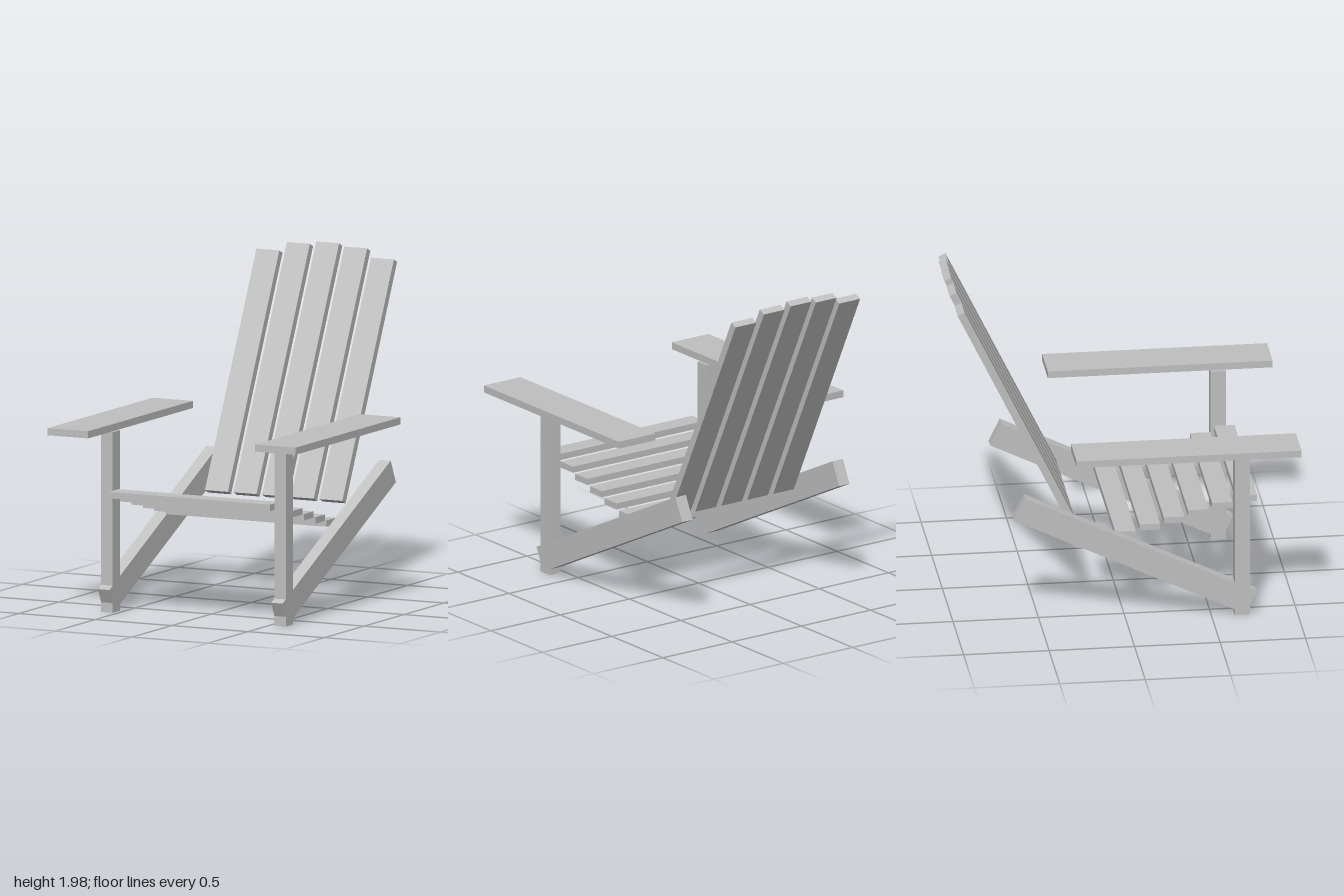
import * as THREE from 'three';

export function createModel() {
  const group = new THREE.Group();
  const wood = new THREE.MeshStandardMaterial({ color: 0xc0c0c0 });
  wood.name = 'paleGreyWood';

  // Box plank given by its size and centre, tilted about x
  function plank(name, size, centre, tilt = 0) {
    const mesh = new THREE.Mesh(new THREE.BoxGeometry(...size), wood);
    mesh.name = name;
    mesh.position.set(...centre);
    mesh.rotation.x = tilt;
    group.add(mesh);
  }

  // Legs, sloping side rails and armrests, mirrored
  for (const [side, s] of [['left', 1], ['right', -1]]) {
    plank(side + 'FrontLeg', [0.075, 1.06, 0.09], [s * 0.567, 0.53, 0.68]);
    plank(side + 'SideRail', [0.075, 0.15, 1.505], [s * 0.567, 0.4, 0.055], 0.451);
    plank(side + 'Armrest', [0.264, 0.042, 1.315], [s * 0.679, 1.081, 0.3425]);
  }

  // Seat slats stepping down toward the back
  for (let i = 0; i < 6; i++) {
    plank('seatSlat' + (i + 1), [1.056, 0.0377, 0.12],
      [0, 0.698 - i * 0.0377, 0.7145 - i * 0.1417]);
  }

  // Reclined back slats sharing one bottom line, tallest in the middle
  const lean = 0.452;
  const thick = 0.045;
  const up = new THREE.Vector3(0, Math.cos(lean), -Math.sin(lean));
  const back = new THREE.Vector3(0, -Math.sin(lean), -Math.cos(lean));
  const lengths = [1.479, 1.533, 1.55, 1.533, 1.479];
  lengths.forEach((length, i) => {
    const centre = new THREE.Vector3((i - 2) * 0.1875, 0.59, -0.28)
      .addScaledVector(up, length / 2)
      .addScaledVector(back, thick / 2);
    plank('backSlat' + (i + 1), [0.15, length, thick], centre.toArray(), -lean);
  });

  return group;
}
